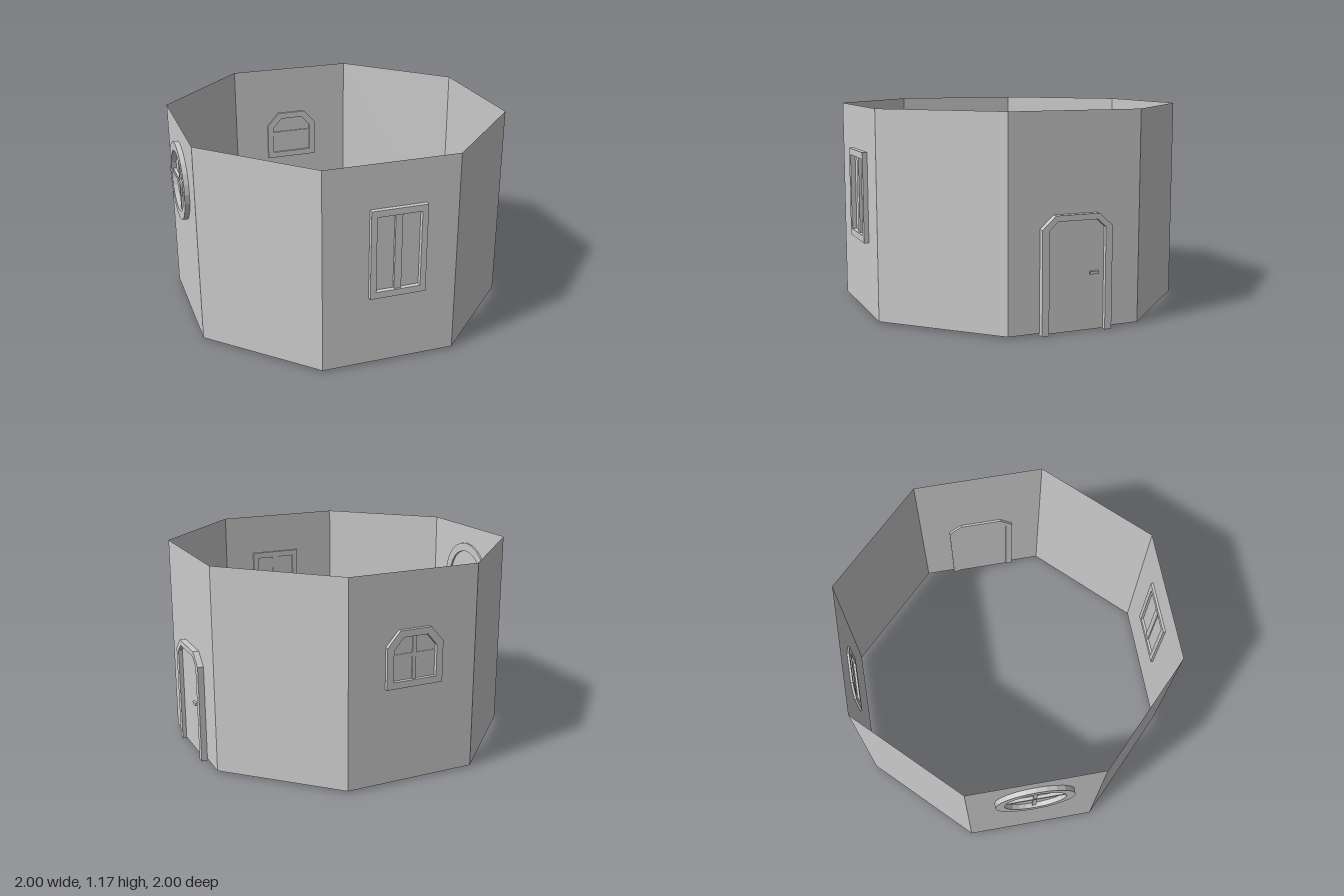
import * as THREE from 'three';

const material = new THREE.MeshStandardMaterial({ color: 0xcccccc, flatShading: true });
const wallMaterial = new THREE.MeshStandardMaterial({ color: 0xcccccc, flatShading: true, side: THREE.DoubleSide });

// Outline of an opening with cut top corners (cutX, cutY = 0 gives a rectangle)
function outline(w, y0, y1, cutX = 0, cutY = 0) {
  const h = w / 2;
  const points = [[-h, y0], [h, y0], [h, y1 - cutY]];
  if (cutX) points.push([h - cutX, y1], [-h + cutX, y1]);
  points.push([-h, y1 - cutY]);
  return points.map(([x, y]) => new THREE.Vector2(x, y));
}

function circle(r, cy, sides = 24) {
  return Array.from({ length: sides }, (_, i) => {
    const a = (i / sides) * Math.PI * 2;
    return new THREE.Vector2(r * Math.cos(a), cy + r * Math.sin(a));
  });
}

// Extrude an outline from distance z0 to z1 from the centre of the building
function slab(name, points, z0, z1, hole) {
  const shape = new THREE.Shape(points);
  if (hole) shape.holes.push(new THREE.Path(hole));
  const geometry = new THREE.ExtrudeGeometry(shape, { depth: z1 - z0, bevelEnabled: false });
  geometry.translate(0, 0, z0);
  const mesh = new THREE.Mesh(geometry, material);
  mesh.name = name;
  return mesh;
}

function bar(name, w, h, x, y, z0, z1) {
  const mesh = new THREE.Mesh(new THREE.BoxGeometry(w, h, z1 - z0), material);
  mesh.position.set(x, y, (z0 + z1) / 2);
  mesh.name = name;
  return mesh;
}

// Group whose local +z points out through the wall at the given angle
function onWall(name, degrees, ...parts) {
  const group = new THREE.Group();
  group.name = name;
  group.rotation.y = THREE.MathUtils.degToRad(degrees);
  group.add(...parts);
  return group;
}

export function createModel() {
  const model = new THREE.Group();
  model.name = 'octagonalHouseWalls';

  // Eight thin walls, open above and below
  const wall = new THREE.Mesh(new THREE.CylinderGeometry(1, 1, 1.165, 8, 1, true), wallMaterial);
  wall.position.y = 0.01 + 1.165 / 2;
  wall.name = 'walls';
  model.add(wall);

  // Tall window with a central post
  const tall = onWall('tallWindow', 22.5,
    slab('frame', outline(0.318, 0.415, 0.925), 0.91, 0.951, outline(0.252, 0.453, 0.888)),
    bar('centrePost', 0.04, 0.44, 0, 0.67, 0.918, 0.94));
  tall.children.forEach((part) => part.translateX(0.035));
  model.add(tall);

  // Door: the frame is an arch, open at the floor
  const frame = [
    [-0.204, 0], [-0.164, 0], [-0.164, 0.56], [-0.115, 0.603], [0.115, 0.603], [0.164, 0.56],
    [0.164, 0], [0.204, 0], [0.204, 0.565], [0.127, 0.635], [-0.127, 0.635], [-0.204, 0.565],
  ].map(([x, y]) => new THREE.Vector2(x, y));
  model.add(onWall('door', 112.5,
    slab('doorFrame', frame, 0.911, 0.958),
    slab('doorPanel', outline(0.328, 0.004, 0.603, 0.049, 0.043), 0.915, 0.935),
    bar('handle', 0.05, 0.016, 0.1, 0.317, 0.945, 0.957),
    bar('handleStem', 0.014, 0.014, 0.118, 0.317, 0.93, 0.948)));

  // Round window with crossed bars
  const cy = 0.838;
  model.add(onWall('roundWindow', -67.5,
    slab('frame', circle(0.227, cy), 0.913, 0.952, circle(0.176, cy)),
    bar('crossBar', 0.36, 0.022, 0, cy, 0.918, 0.942),
    bar('uprightBar', 0.022, 0.36, 0, cy, 0.928, 0.938)));

  // Small window with cut top corners
  model.add(onWall('archedWindow', 202.5,
    slab('frame', outline(0.335, 0.55, 0.866, 0.075, 0.085), 0.911, 0.945,
      outline(0.257, 0.588, 0.828, 0.057, 0.065)),
    bar('crossBar', 0.27, 0.026, 0, 0.72, 0.916, 0.928),
    bar('uprightBar', 0.022, 0.25, 0, 0.708, 0.926, 0.932)));

  return model;
}
